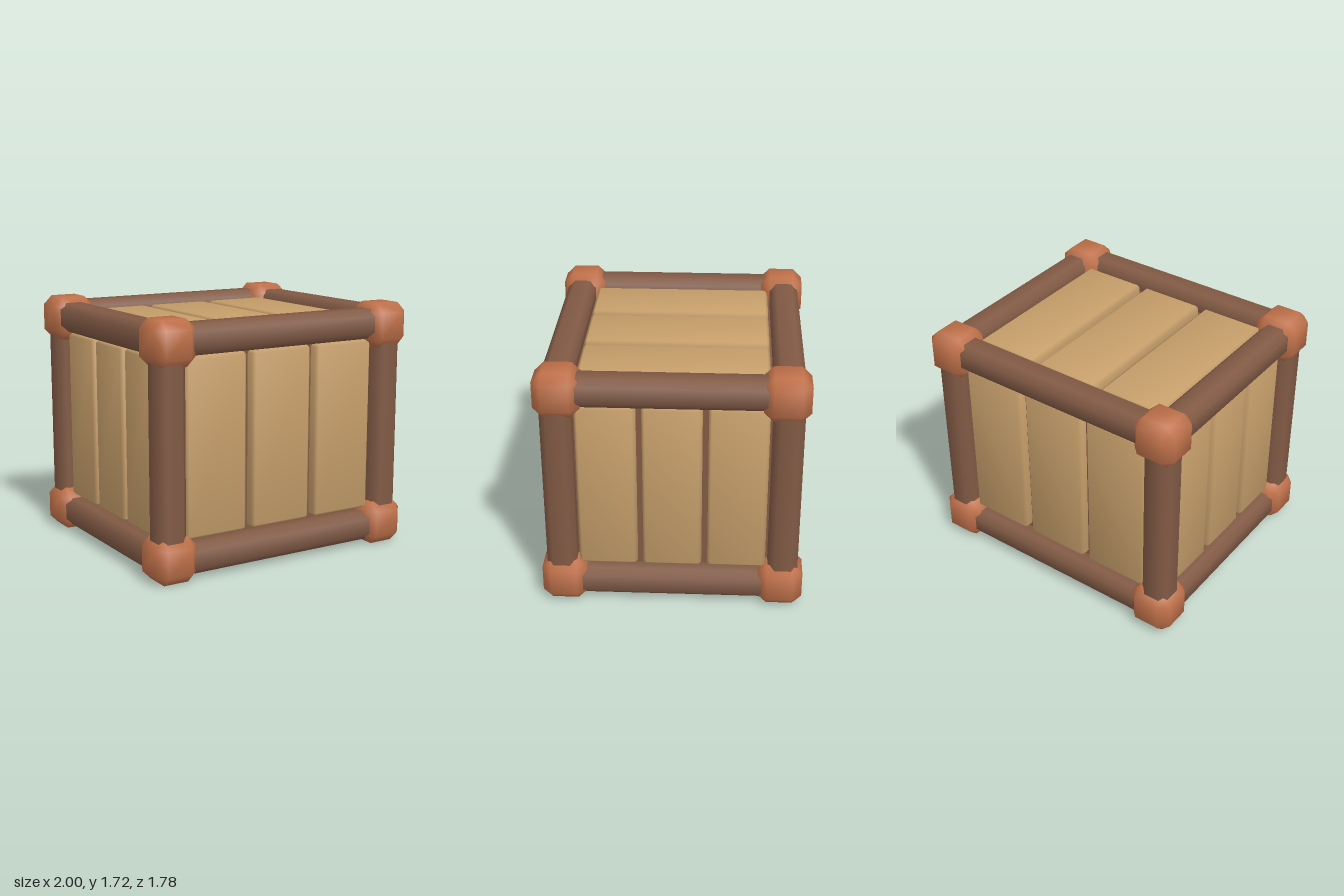
import * as THREE from 'three';
import { ConvexGeometry } from 'three/addons/geometries/ConvexGeometry.js';

// Box with all edges cut by c; normals lean outward by soft to give a pillowed look
function chamferBox(size, c, soft) {
  const h = size.map((s) => s / 2);
  const points = [];
  for (let axis = 0; axis < 3; axis++)
    for (const x of [-1, 1]) for (const y of [-1, 1]) for (const z of [-1, 1])
      points.push(new THREE.Vector3(...[x, y, z].map((s, i) => s * (i === axis ? h[i] : h[i] - c))));
  const geo = new ConvexGeometry(points);
  const pos = geo.attributes.position;
  const n = new THREE.Vector3();
  for (let i = 0; i < pos.count; i++) {
    const p = [pos.getX(i), pos.getY(i), pos.getZ(i)];
    n.set(...p.map((v, k) => Math.sign(v) * (Math.abs(v) > h[k] - c / 2 ? 1 : soft[k]))).normalize();
    geo.attributes.normal.setXYZ(i, n.x, n.y, n.z);
  }
  return geo;
}

export function createModel() {
  const crate = new THREE.Group();
  crate.name = 'crate';
  const plankWood = new THREE.MeshStandardMaterial({ name: 'plank wood', color: 0xc79f6b });
  const frameWood = new THREE.MeshStandardMaterial({ name: 'frame wood', color: 0x825a45 });
  const copper = new THREE.MeshStandardMaterial({ name: 'corner copper', color: 0xc0714a });

  const add = (name, geo, mat, at) => {
    const mesh = new THREE.Mesh(geo, mat);
    mesh.name = name;
    mesh.position.set(...at);
    crate.add(mesh);
  };

  // Inner box, seen in the gaps and from below
  add('innerBox', new THREE.BoxGeometry(1.66, 1.42, 1.44), frameWood, [0, 0.85, 0]);

  // Twelve frame beams and eight corner caps
  const midY = 0.862;
  const beamAt = [0.862, 0.723, 0.752];
  const capAt = [0.847, 0.709, 0.738];
  const capGeo = chamferBox([0.306, 0.306, 0.304], 0.063, [0.35, 0.35, 0.35]);
  const beamNames = ['crossBeam', 'post', 'sideBeam'];
  for (let axis = 0; axis < 3; axis++) {
    const size = [0.204, 0.204, 0.204];
    size[axis] = beamAt[axis] * 2 - 0.1;
    const soft = [0.4, 0.4, 0.4];
    soft[axis] = 0;
    const geo = chamferBox(size, 0.045, soft);
    for (const a of [-1, 1]) for (const b of [-1, 1]) {
      const at = [0, 0, 0];
      at[(axis + 1) % 3] = a * beamAt[(axis + 1) % 3];
      at[(axis + 2) % 3] = b * beamAt[(axis + 2) % 3];
      at[1] += midY;
      add(beamNames[axis], geo, frameWood, at);
    }
  }
  for (const x of [-1, 1]) for (const y of [-1, 1]) for (const z of [-1, 1])
    add('cornerCap', capGeo, copper, [x * capAt[0], midY + y * capAt[1], z * capAt[2]]);

  // Three planks on each wall and on the lid
  const wallGeo = chamferBox([0.465, 1.21, 0.14], 0.02, [0.2, 0.2, 0.2]);
  const sideGeo = chamferBox([0.14, 1.21, 0.395], 0.02, [0.2, 0.2, 0.2]);
  const lidGeo = chamferBox([0.465, 0.14, 1.265], 0.02, [0.2, 0.2, 0.2]);
  for (const i of [-1, 0, 1]) {
    for (const s of [-1, 1]) {
      add('wallPlank', wallGeo, plankWood, [i * 0.511, 0.868, s * 0.72]);
      add('sidePlank', sideGeo, plankWood, [s * 0.83, 0.868, i * 0.436]);
    }
    add('lidPlank', lidGeo, plankWood, [i * 0.511, 1.56, 0]);
  }
  return crate;
}
